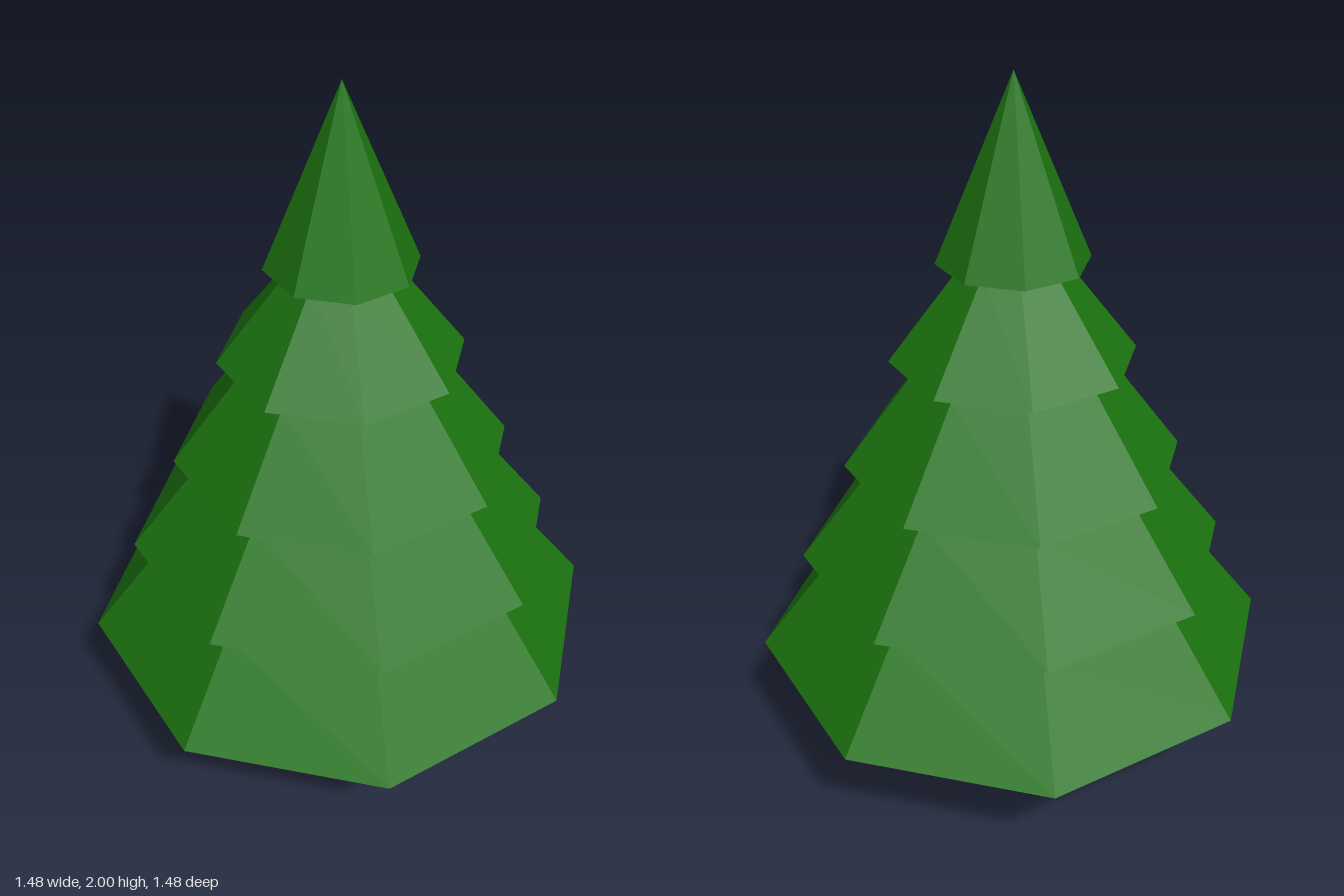
import * as THREE from 'three';

export function createModel() {
  const tree = new THREE.Group();
  tree.name = 'pineTree';

  // Foliage: one hollow eight-sided shell, stepped in beneath each tier
  const profile = [
    [0.74, 0.343],
    [0.535, 0.609], [0.605, 0.641],
    [0.4, 0.907], [0.471, 0.928],
    [0.265, 1.208], [0.336, 1.24],
    [0.13, 1.51], [0.205, 1.51],
    [0, 2],
  ].map(([r, y]) => new THREE.Vector2(r, y));
  const foliage = new THREE.Mesh(
    new THREE.LatheGeometry(profile, 8),
    new THREE.MeshStandardMaterial({ color: 0x1c7410, flatShading: true, side: THREE.DoubleSide })
  );
  foliage.name = 'foliage';
  tree.add(foliage);

  // Trunk: thin round post set slightly behind the centre
  const height = 0.35;
  const trunk = new THREE.Mesh(
    new THREE.CylinderGeometry(0.033, 0.033, height, 24),
    new THREE.MeshStandardMaterial({ color: 0xcccccc })
  );
  trunk.name = 'trunk';
  trunk.position.set(0, height / 2, -0.033);
  tree.add(trunk);

  return tree;
}
